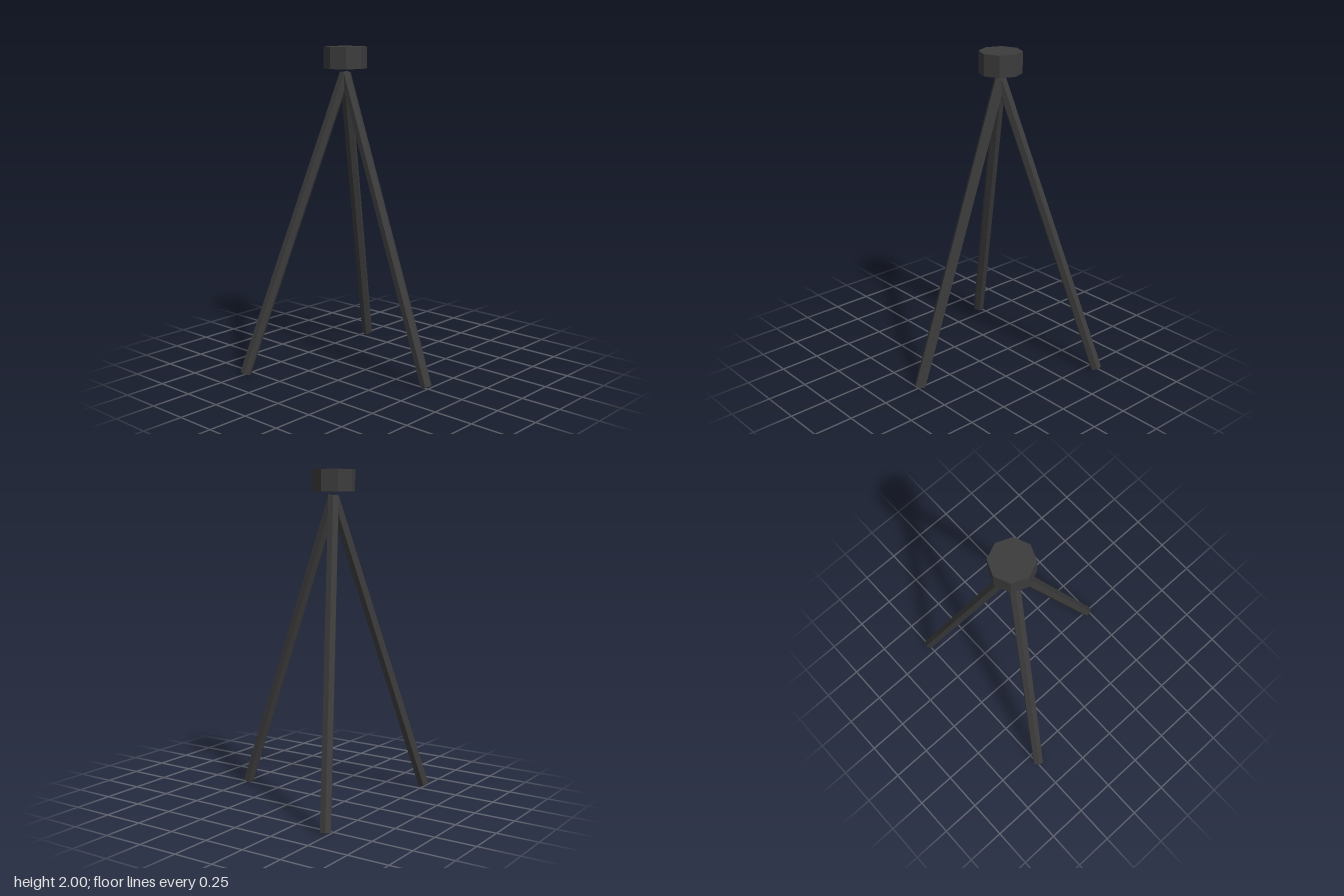
import * as THREE from 'three';

export function createModel() {
  const group = new THREE.Group();
  const darkGrey = new THREE.MeshStandardMaterial({ color: 0x3c3c3c });
  darkGrey.flatShading = true;
  const hubX = -0.163;

  // Octagonal head floating just above the legs
  const head = new THREE.Mesh(new THREE.CylinderGeometry(0.13, 0.13, 0.13, 8), darkGrey);
  head.name = 'head';
  head.position.set(hubX, 1.935, 0);
  group.add(head);

  // Three hexagonal legs splayed evenly from one apex
  const spread = 0.65, bottomY = 0.014, topY = 1.84;
  const rise = topY - bottomY;
  const legGeometry = new THREE.CylinderGeometry(
    0.035, 0.035, Math.hypot(spread, rise), 6, 1, false, Math.PI / 2);
  for (let i = 0; i < 3; i++) {
    const legPivot = new THREE.Group();
    legPivot.name = 'legPivot' + (i + 1);
    legPivot.position.x = hubX;
    legPivot.rotation.y = (i * Math.PI * 2) / 3;
    const leg = new THREE.Mesh(legGeometry, darkGrey);
    leg.name = 'leg' + (i + 1);
    leg.position.set(spread / 2, (topY + bottomY) / 2, 0);
    leg.rotation.z = Math.atan2(spread, rise);
    legPivot.add(leg);
    group.add(legPivot);
  }
  return group;
}
